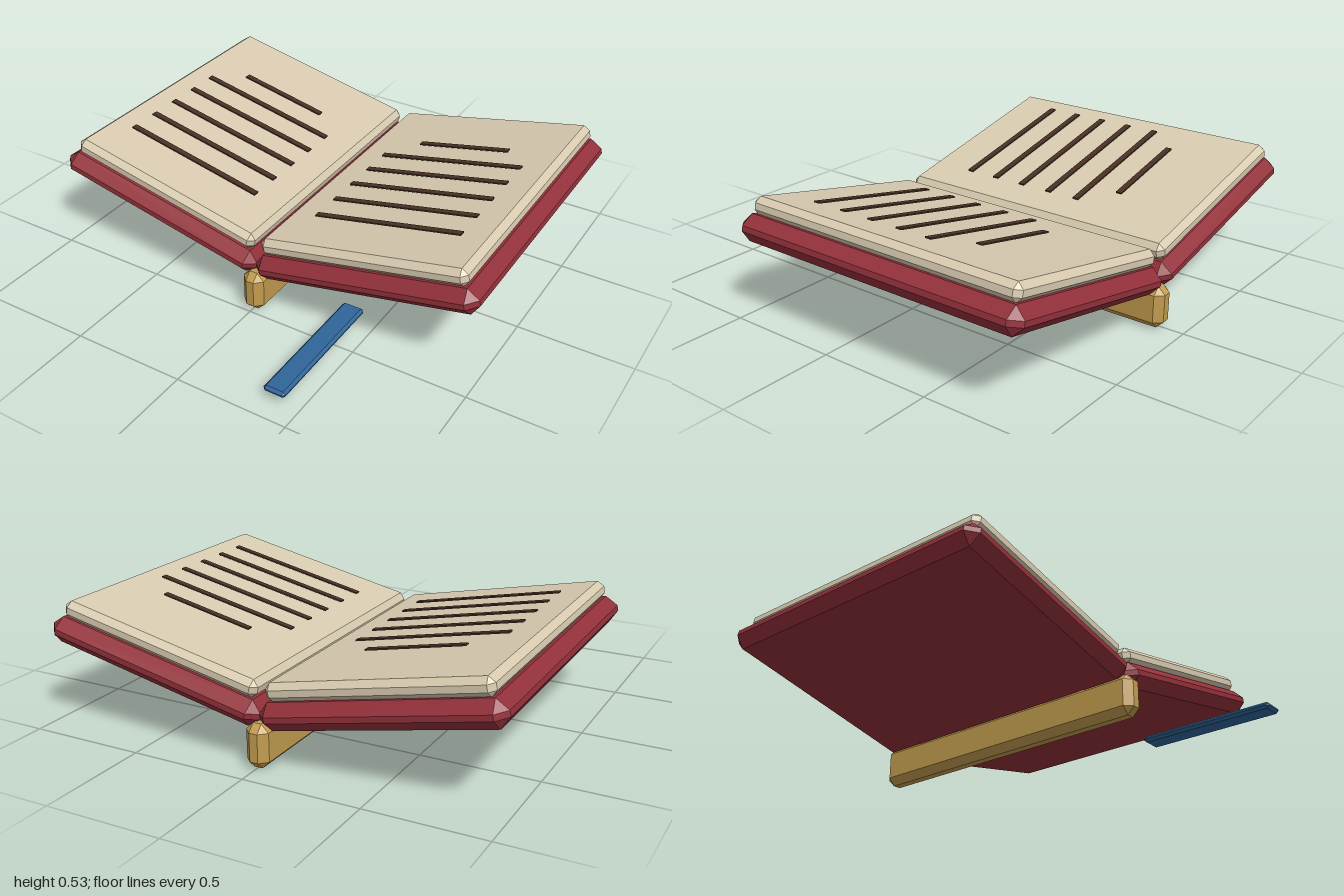
import * as THREE from 'three';
import { ConvexGeometry } from 'three/addons/geometries/ConvexGeometry.js';

const material = (name, color) => Object.assign(new THREE.MeshStandardMaterial({ color }), { name });

// Box with every edge cut by a flat chamfer c
function chamferBox(w, h, d, c) {
  const points = [];
  for (const x of [-w / 2, w / 2]) for (const y of [-h / 2, h / 2]) for (const z of [-d / 2, d / 2]) {
    const cx = x - Math.sign(x) * c, cy = y - Math.sign(y) * c, cz = z - Math.sign(z) * c;
    points.push(new THREE.Vector3(x, cy, cz), new THREE.Vector3(cx, y, cz), new THREE.Vector3(cx, cy, z));
  }
  return new ConvexGeometry(points);
}

function addPart(parent, name, geometry, mat, x, y, z) {
  const mesh = new THREE.Mesh(geometry, mat);
  mesh.name = name;
  mesh.position.set(x, y, z);
  parent.add(mesh);
}

export function createModel() {
  const book = new THREE.Group();
  book.name = 'openBook';
  const red = material('cover red', 0x93303a);
  const cream = material('page cream', 0xd8cbb0);
  const brown = material('ink brown', 0x4a3024);
  const gold = material('spine gold', 0xc29c4f);
  const blue = material('ribbon blue', 0x2f6699);

  const coverGeo = chamferBox(1.02, 0.114, 1.395, 0.045);
  const pagesGeo = chamferBox(0.94, 0.078, 1.32, 0.025);
  const longLine = new THREE.BoxGeometry(0.67, 0.006, 0.028);
  const shortLine = new THREE.BoxGeometry(0.43, 0.006, 0.028);

  // Two halves, tilted up from the spine
  for (const side of [-1, 1]) {
    const half = new THREE.Group();
    half.name = side > 0 ? 'leftHalf' : 'rightHalf';
    half.rotation.z = side * THREE.MathUtils.degToRad(12);
    addPart(half, 'cover', coverGeo, red, side * 0.551, 0.197, -0.212);
    addPart(half, 'pages', pagesGeo, cream, side * 0.55, 0.288, -0.212);
    // Written lines, the farthest one shorter
    for (let i = 0; i < 6; i++) {
      addPart(half, 'textLine', i === 5 ? shortLine : longLine, brown, side * 0.563, 0.342, 0.21 - i * 0.144);
    }
    book.add(half);
  }

  // Spine under the fold and the loose bookmark ribbon
  addPart(book, 'spine', chamferBox(0.1, 0.184, 1.415, 0.032), gold, 0, 0.092, -0.21);
  addPart(book, 'ribbon', chamferBox(0.098, 0.028, 0.615, 0.011), blue, 0.391, 0.051, 0.607);
  return book;
}
